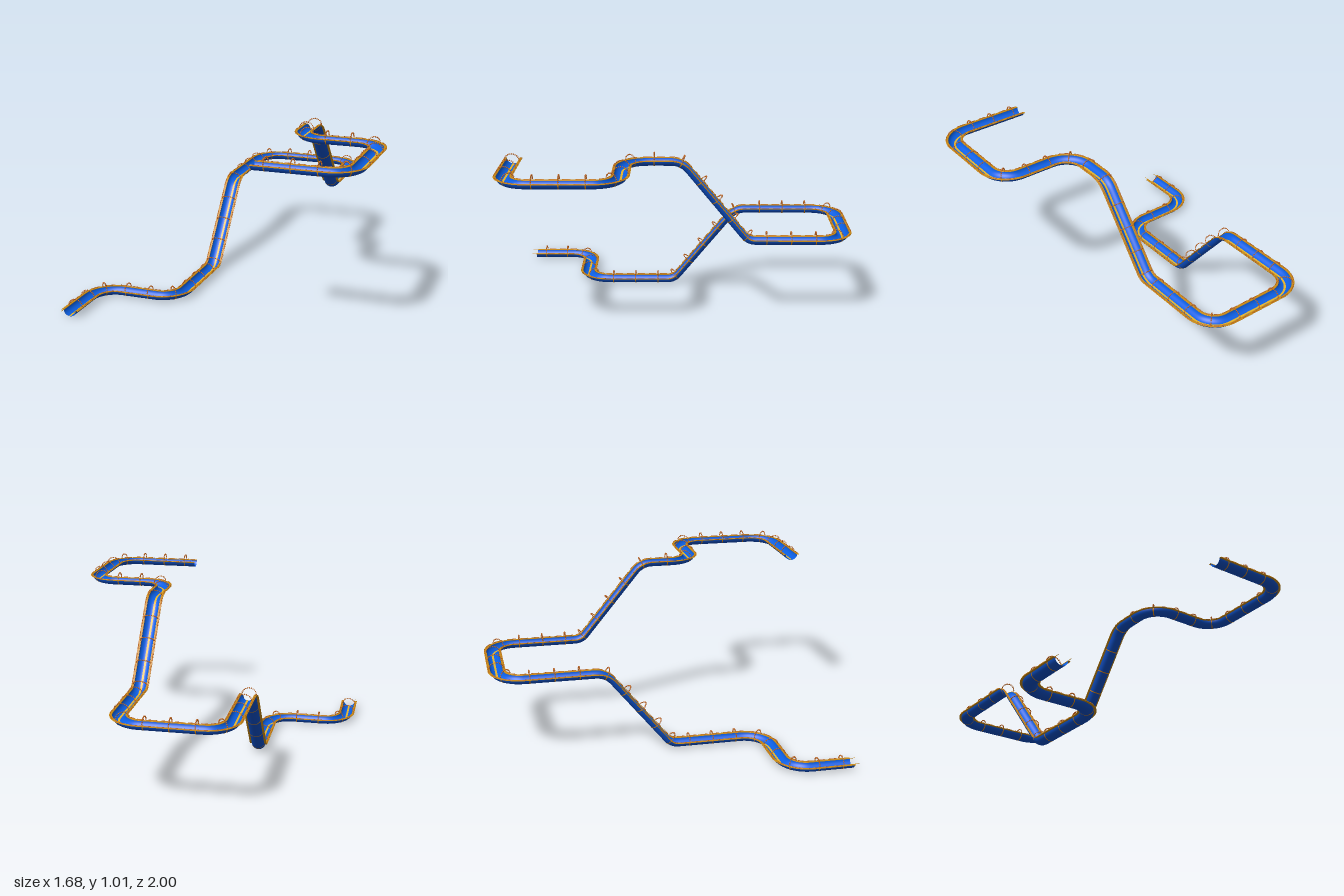
import * as THREE from 'three';
import { mergeGeometries } from 'three/addons/utils/BufferGeometryUtils.js';

const V = (x, y, z) => new THREE.Vector3(x, y, z);
const mat = (name, color, side = THREE.DoubleSide) => {
  const m = new THREE.MeshStandardMaterial({ color, side });
  m.name = name;
  return m;
};

// Route of the channel floor: corner points, each rounded by a tangent length
const Y0 = 0.001, Y1 = 0.466, Y2 = 0.931;
const ROUTE = [
  [V(-0.79, Y0, 0.97), 0],
  [V(-0.79, Y0, 0.59), 0.14],
  [V(-0.31, Y0, 0.59), 0.14],
  [V(-0.31, Y0, 0.025), 0.05],
  [V(-0.31, Y1, -0.355), 0.05],
  [V(-0.31, Y1, -0.95), 0.14],
  [V(0.31, Y1, -0.95), 0.14],
  [V(0.31, Y1, -0.385), 0.05],
  [V(0.31, Y2, -0.005), 0.05],
  [V(0.31, Y2, 0.31), 0.14],
  [V(0.79, Y2, 0.31), 0.14],
  [V(0.79, Y2, 0.93), 0.14],
  [V(0.27, Y2, 0.93), 0],
];

// Split the route into straights and circular arcs
function makePieces() {
  const pieces = [];
  let from = ROUTE[0][0], s = 0;
  const add = (p) => { pieces.push({ ...p, s }); s += p.len; };
  for (let i = 1; i < ROUTE.length; i++) {
    const [p, t] = ROUTE[i];
    const d = p.clone().sub(ROUTE[i - 1][0]).normalize();
    const a = p.clone().addScaledVector(d, -t);
    add({ a: from, d, len: a.distanceTo(from), r: 0 });
    if (!t) continue;
    const d2 = ROUTE[i + 1][0].clone().sub(p).normalize();
    const angle = d.angleTo(d2);
    const r = t / Math.tan(angle / 2);
    const n = d2.clone().addScaledVector(d, -Math.cos(angle)).normalize();
    add({ a, d, n, r, len: r * angle });
    from = p.clone().addScaledVector(d2, t);
  }
  return { pieces, total: s };
}
const { pieces, total } = makePieces();

// Position, sideways and upward directions at distance s along the route
function frameAt(s) {
  let k = 0;
  while (k < pieces.length - 1 && s > pieces[k + 1].s) k++;
  const { a, d, n, r, s: start } = pieces[k];
  const pos = a.clone(), dir = d.clone();
  if (r) {
    const f = (s - start) / r;
    pos.addScaledVector(d, r * Math.sin(f)).addScaledVector(n, r * (1 - Math.cos(f)));
    dir.multiplyScalar(Math.cos(f)).addScaledVector(n, Math.sin(f));
  } else pos.addScaledVector(d, s - start);
  const side = dir.clone().cross(V(0, 1, 0)).normalize();
  return { pos, side, up: side.clone().cross(dir) };
}
const place = (f, u, v) => f.pos.clone().addScaledVector(f.side, u).addScaledVector(f.up, v);

// Hoop positions: one mid-bend in every level corner, evenly spaced between
function hoopStations() {
  const bends = pieces.filter((p) => p.r && Math.abs(p.n.y) < 0.01 && Math.abs(p.d.y) < 0.01);
  const anchors = [0.067, ...bends.map((p) => p.s + p.len / 2), total - 0.07];
  const out = [anchors[0]];
  for (let i = 1; i < anchors.length; i++) {
    const a = anchors[i - 1], span = anchors[i] - a, n = Math.round(span / 0.14);
    for (let j = 1; j <= n; j++) out.push(a + (span * j) / n);
  }
  return out;
}

// Sweep a [sideways, up] profile along the route from s0 to s1
function sweep(profile, s0, s1, step = 0.016) {
  const rows = Math.max(1, Math.ceil((s1 - s0) / step)), m = profile.length;
  const pos = [], idx = [];
  for (let i = 0; i <= rows; i++) {
    const f = frameAt(s0 + ((s1 - s0) * i) / rows);
    for (const [u, v] of profile) pos.push(...place(f, u, v).toArray());
  }
  for (let i = 0; i < rows; i++) for (let j = 0; j < m - 1; j++) {
    const a = i * m + j, b = a + m;
    idx.push(a, a + 1, b, b, a + 1, b + 1);
  }
  const g = new THREE.BufferGeometry();
  g.setAttribute('position', new THREE.Float32BufferAttribute(pos, 3));
  g.setIndex(idx);
  g.computeVertexNormals();
  return g;
}

const RIM = 0.035, HALF = 0.038;
const bowl = (k, span = 1, n = 16) => Array.from({ length: n + 1 }, (_, i) => {
  const a = (i / n - 0.5) * Math.PI * span;
  return [HALF * k * Math.sin(a), RIM - RIM * k * Math.cos(a)];
});
const tube = (u, v, r, n = 8) => Array.from({ length: n + 1 }, (_, i) => {
  const a = (-i / n) * Math.PI * 2;
  return [u + r * Math.cos(a), v + r * Math.sin(a)];
});
// Flat strip with a top and bottom face
const strip = (u, v, w, h) => [[u - w, v - h], [u - w, v + h], [u + w, v + h], [u + w, v - h], [u - w, v - h]];

export function createModel() {
  const group = new THREE.Group();
  const blue = mat('channel blue', 0x0c60e6);
  const deepBlue = mat('shell blue', 0x0a4cc0);
  const gold = mat('rim gold', 0xc98a14);
  const orange = mat('rib orange', 0xdc8614);
  const yellow = mat('stripe yellow', 0xffc630);
  const rust = mat('bead rust', 0xbe621a, THREE.FrontSide);
  const add = (name, geos, m) => {
    const mesh = new THREE.Mesh(mergeGeometries(geos), m);
    mesh.name = name;
    group.add(mesh);
  };

  // Half-pipe: outer shell, inner lining and a stripe along the floor
  add('channelShell', [sweep(bowl(1), 0, total)], deepBlue);
  add('channelLining', [sweep(bowl(0.96), 0, total)], blue);
  add('floorStripe', [sweep(bowl(0.93, 0.11, 2), 0, total)], yellow);

  // Broad lips, and thin rails that run out past the lower end
  const sides = [-1, 1];
  add('rimLips', sides.map((k) => sweep(strip(k * 0.0432, RIM, 0.0075, 0.0015), 0, total)), gold);
  add('guideRails', sides.map((k) => sweep(tube(k * 0.0375, RIM + 0.001, 0.0013), -0.03, total)), gold);

  // Short dashes on the lips, ribs below and beaded hoops above
  const dashes = [], ribs = [], beads = [];
  for (const s of hoopStations()) {
    ribs.push(sweep(bowl(1.025), s - 0.003, s + 0.003));
    for (const k of sides) for (const d of [0.012, 0.0815]) {
      if (s + d + 0.045 < total) dashes.push(sweep(strip(k * 0.047, RIM + 0.004, 0.0015, 0.0012), s + d, s + d + 0.045));
    }
    const f = frameAt(s);
    for (let i = 0; i <= 12; i++) {
      const a = (i / 12) * Math.PI;
      const p = place(f, 0.041 * Math.cos(a), RIM + 0.002 + 0.037 * Math.sin(a));
      beads.push(new THREE.IcosahedronGeometry(0.004, 1).translate(p.x, p.y, p.z));
    }
  }
  add('rimDashes', dashes, rust);
  add('underRibs', ribs, orange);
  add('beadHoops', beads, rust);
  return group;
}
